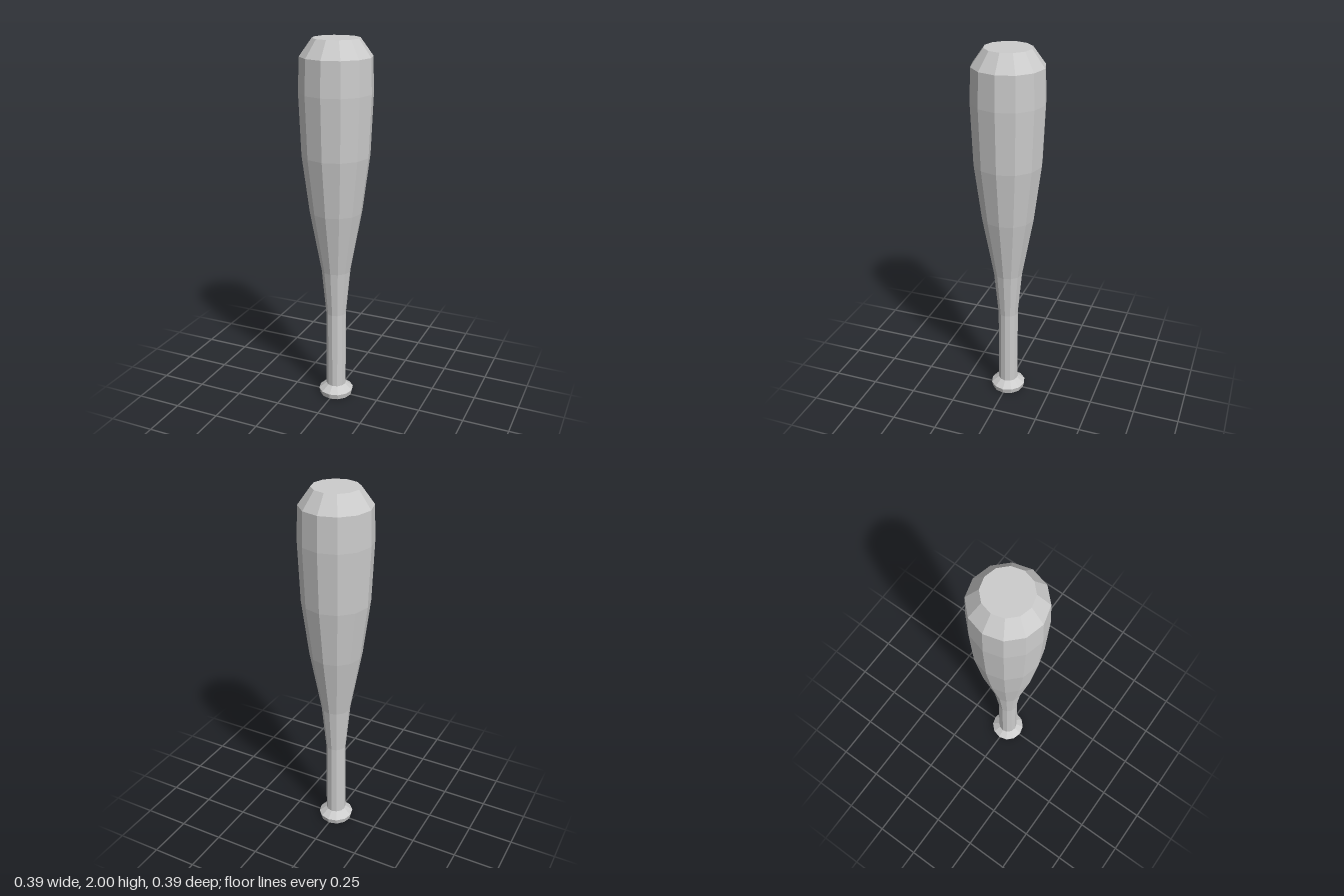
import * as THREE from 'three';

const SIDES = 12;

export function createModel() {
  const model = new THREE.Group();
  model.name = 'bat';

  const grey = new THREE.MeshStandardMaterial({ color: 0xcccccc, flatShading: true });
  grey.name = 'grey';

  // Faceted turned part from [radius, height] points, bottom to top
  function turned(name, profile) {
    const points = profile.map(([r, y]) => new THREE.Vector2(r, y));
    const geometry = new THREE.LatheGeometry(points, SIDES).toNonIndexed();
    geometry.computeVertexNormals();
    const mesh = new THREE.Mesh(geometry, grey);
    mesh.name = name;
    model.add(mesh);
  }

  // Flared end knob with a closed base
  turned('knob', [[0, 0], [0.09, 0], [0.097, 0.03], [0.055, 0.063]]);

  // Straight grip
  turned('handle', [[0.055, 0.063], [0.055, 0.505]]);

  // Swelling barrel with a bevelled, flat top
  turned('barrel', [
    [0.055, 0.505], [0.079, 0.76], [0.141, 1.1], [0.18, 1.405],
    [0.193, 1.73], [0.187, 1.91], [0.122, 2], [0, 2],
  ]);

  return model;
}
